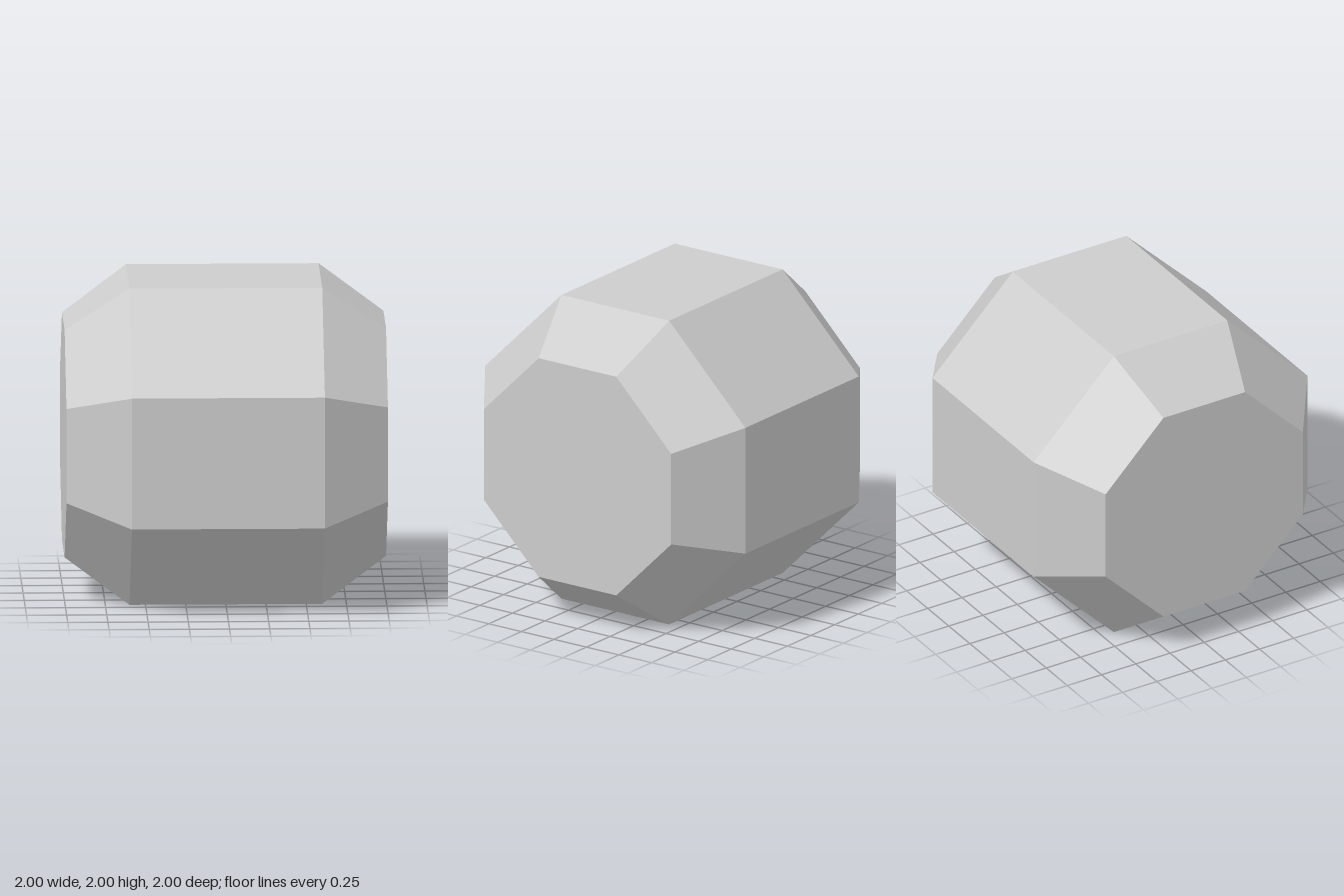
import * as THREE from 'three';

export function createModel() {
  const group = new THREE.Group();
  group.name = 'octagonalBarrel';

  const grey = new THREE.MeshStandardMaterial({ color: 0xcccccc, flatShading: true });
  grey.name = 'light grey';

  // Half-profile along the axis; radii are given to the flats, then scaled to the corners
  const toCorner = 1 / Math.cos(Math.PI / 8);
  const profile = [[0, -1], [0.72, -1], [1, -0.6], [1, 0.6], [0.72, 1], [0, 1]]
    .map(([r, y]) => new THREE.Vector2(r * toCorner, y));

  // Eight-sided barrel with bevelled ends, laid along x
  const geometry = new THREE.LatheGeometry(profile, 8, Math.PI / 8);
  geometry.rotateZ(-Math.PI / 2);

  const barrel = new THREE.Mesh(geometry, grey);
  barrel.name = 'barrel';
  barrel.position.y = 1;
  group.add(barrel);

  return group;
}
